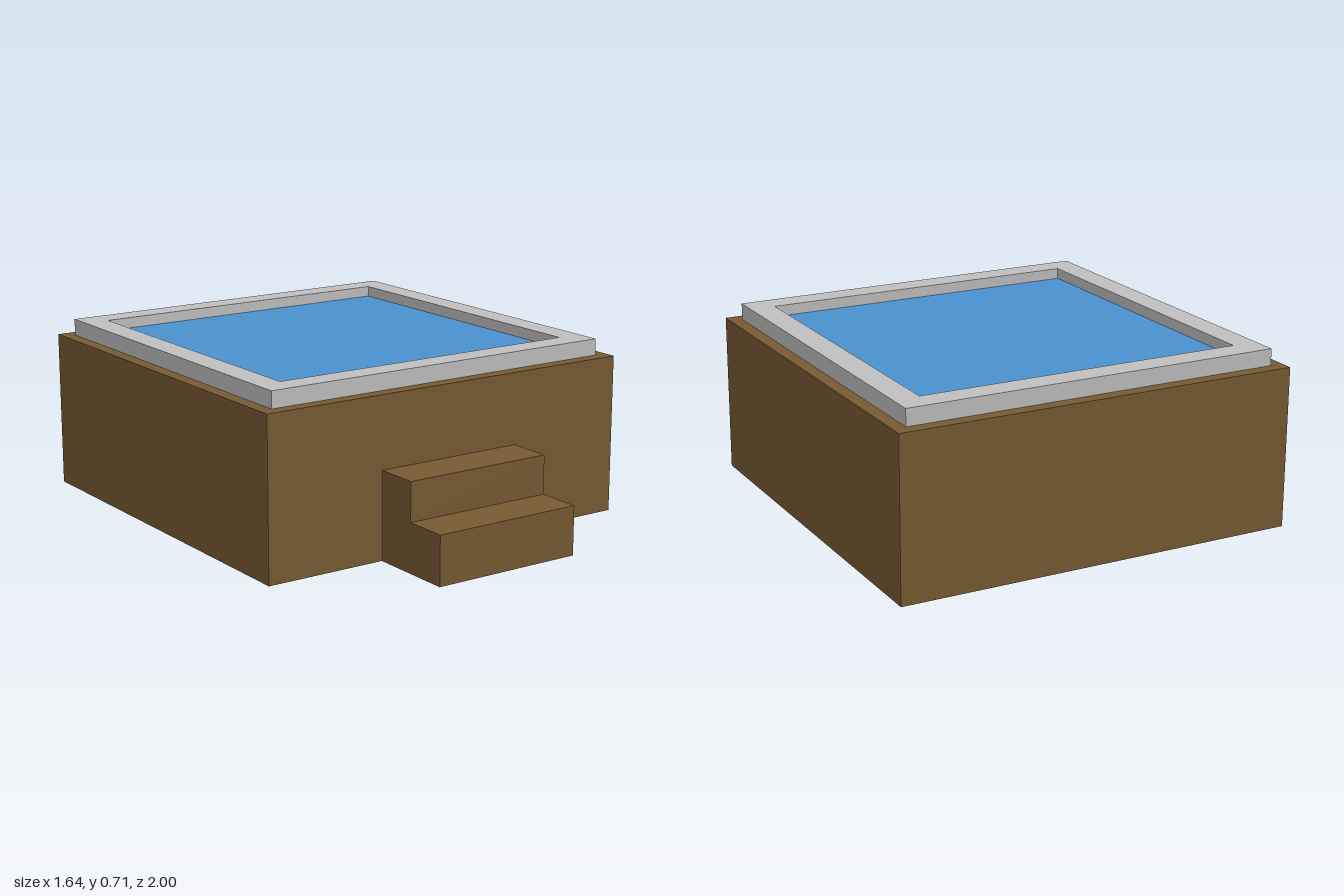
import * as THREE from 'three';

const wood = new THREE.MeshStandardMaterial({ name: 'brown wood', color: 0x765b33 });
const stone = new THREE.MeshStandardMaterial({ name: 'light grey rim', color: 0xc0c0c0 });
const waterBlue = new THREE.MeshStandardMaterial({ name: 'water blue', color: 0x4a91cd });

const CENTRE_Z = -0.18;
const HULL_TOP = 0.645;

function addMesh(group, name, geometry, material, x = 0, y = 0, z = 0) {
  const mesh = new THREE.Mesh(geometry, material);
  mesh.name = name;
  mesh.position.set(x, y, z);
  group.add(mesh);
  return mesh;
}

function square(half, Type = THREE.Shape) {
  return new Type([[-1, -1], [1, -1], [1, 1], [-1, 1]]
    .map(([x, y]) => new THREE.Vector2(x * half, y * half)));
}

export function createModel() {
  const group = new THREE.Group();
  group.name = 'hotTub';

  // Square wooden cabinet
  addMesh(group, 'cabinet', new THREE.BoxGeometry(1.64, HULL_TOP, 1.64), wood, 0, HULL_TOP / 2, CENTRE_Z);

  // Raised rim with a square opening
  const rimShape = square(0.768);
  rimShape.holes.push(square(0.665, THREE.Path));
  const rimGeometry = new THREE.ExtrudeGeometry(rimShape, { depth: 0.067, bevelEnabled: false });
  rimGeometry.rotateX(-Math.PI / 2);
  addMesh(group, 'rim', rimGeometry, stone, 0, HULL_TOP, CENTRE_Z);

  // Water surface, a little below the rim
  const waterGeometry = new THREE.PlaneGeometry(1.33, 1.33).rotateX(-Math.PI / 2);
  addMesh(group, 'water', waterGeometry, waterBlue, 0, 0.668, CENTRE_Z);

  // Two entry steps: side profile (z, y) extruded across the width
  const profile = [[0.64, 0], [1, 0], [1, 0.198], [0.82, 0.198], [0.82, 0.355], [0.64, 0.355]];
  const stepShape = new THREE.Shape(profile.map(([z, y]) => new THREE.Vector2(-z, y)));
  const stepGeometry = new THREE.ExtrudeGeometry(stepShape, { depth: 0.634, bevelEnabled: false });
  stepGeometry.translate(0, 0, -0.317).rotateY(Math.PI / 2);
  addMesh(group, 'steps', stepGeometry, wood);

  return group;
}
